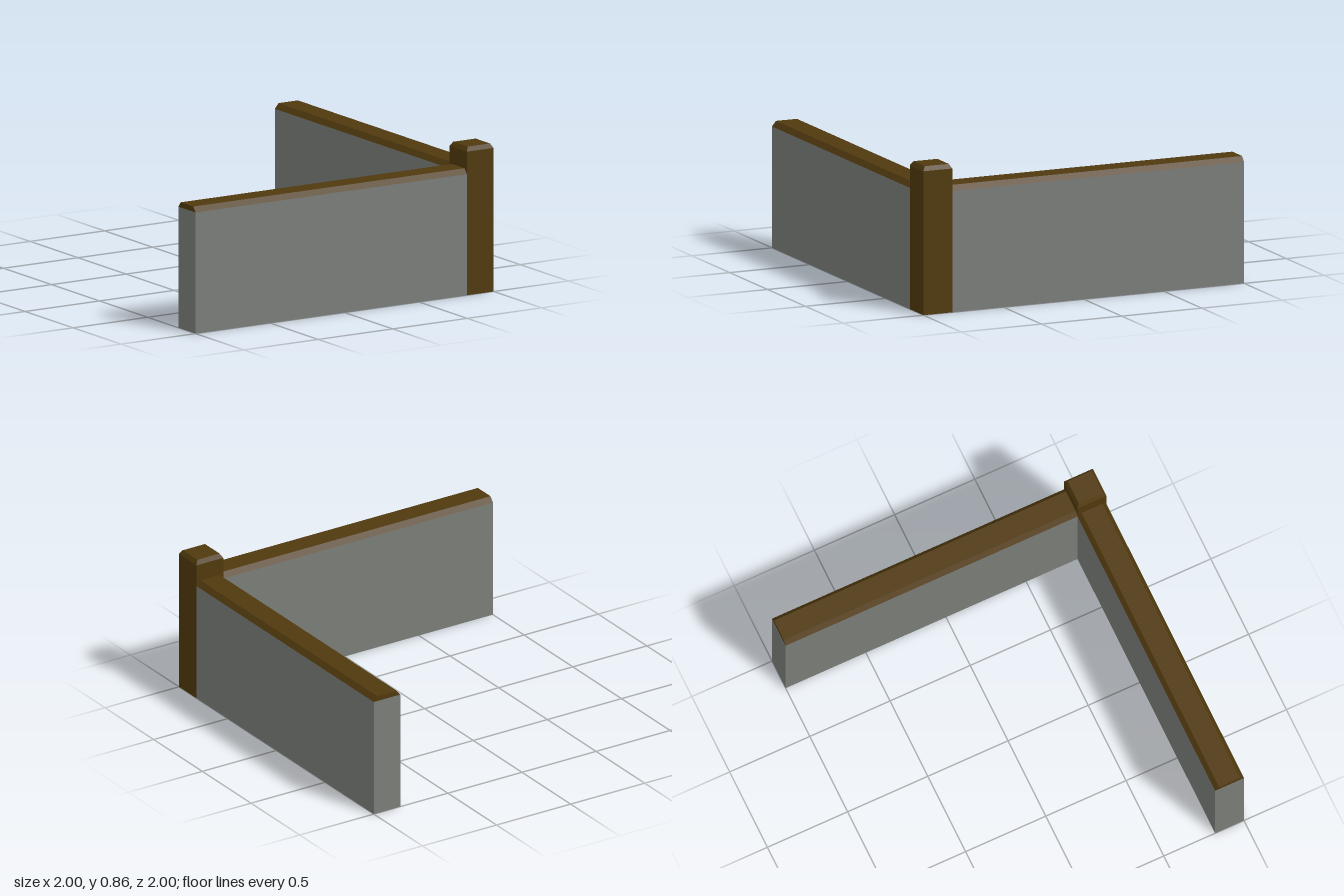
import * as THREE from 'three';

const stone = new THREE.MeshStandardMaterial({ name: 'stoneGrey', color: 0x7b7d79, side: THREE.DoubleSide });
const wood = new THREE.MeshStandardMaterial({ name: 'darkWood', color: 0x50390d, side: THREE.DoubleSide });

const THICK = 0.18, LENGTH = 1.82;
const WALL_H = 0.7, RAIL_H = 0.03, POST_H = 0.83, CAP_H = 0.025;

// Box standing on y = 0 with some faces left out (0:+x 1:-x 2:+y 3:-y 4:+z 5:-z)
function openBox(w, h, d, omit) {
  const g = new THREE.BoxGeometry(w, h, d).translate(0, h / 2, 0);
  const index = Array.from(g.index.array).filter((_, i) => !omit.includes(Math.floor(i / 6)));
  g.setIndex(index);
  g.clearGroups();
  return g;
}

function part(name, geometry, material, y = 0) {
  const mesh = new THREE.Mesh(geometry, material);
  mesh.name = name;
  mesh.position.y = y;
  return mesh;
}

// Wall run along x, open below and towards the post, with a bevelled rail on top
function wallRun(name) {
  const run = new THREE.Group();
  run.name = name;
  const h = THICK / 2, inset = 0.025;
  const profile = new THREE.Shape([
    new THREE.Vector2(-h, 0), new THREE.Vector2(h, 0),
    new THREE.Vector2(h - inset, RAIL_H), new THREE.Vector2(-h + inset, RAIL_H),
  ]);
  const rail = new THREE.ExtrudeGeometry(profile, { depth: LENGTH, bevelEnabled: false });
  rail.translate(0, 0, -LENGTH / 2).rotateY(Math.PI / 2);
  run.add(part('wall', openBox(LENGTH, WALL_H, THICK, [0, 2, 3]), stone));
  run.add(part('topRail', rail, wood, WALL_H));
  return run;
}

// Square corner post, open below, with a bevelled cap
function cornerPost() {
  const post = new THREE.Group();
  post.name = 'cornerPost';
  const cap = openBox(THICK, CAP_H, THICK, [3]);
  const pos = cap.attributes.position;
  const taper = (THICK - 0.03) / THICK;
  for (let i = 0; i < pos.count; i++) {
    if (pos.getY(i) > CAP_H / 2) {
      pos.setX(i, pos.getX(i) * taper);
      pos.setZ(i, pos.getZ(i) * taper);
    }
  }
  const flatCap = cap.toNonIndexed();
  flatCap.computeVertexNormals();
  post.add(part('postBody', openBox(THICK, POST_H, THICK, [2, 3]), wood));
  post.add(part('postCap', flatCap, wood, POST_H));
  return post;
}

export function createModel() {
  const model = new THREE.Group();
  model.name = 'cornerWall';
  const centre = 1 - THICK / 2;

  const front = wallRun('frontWall');
  front.position.set(-THICK / 2, 0, centre);

  const side = wallRun('leftWall');
  side.rotation.y = -Math.PI / 2;
  side.position.set(centre, 0, -THICK / 2);

  const post = cornerPost();
  post.position.set(centre, 0, centre);

  model.add(front, side, post);
  return model;
}
